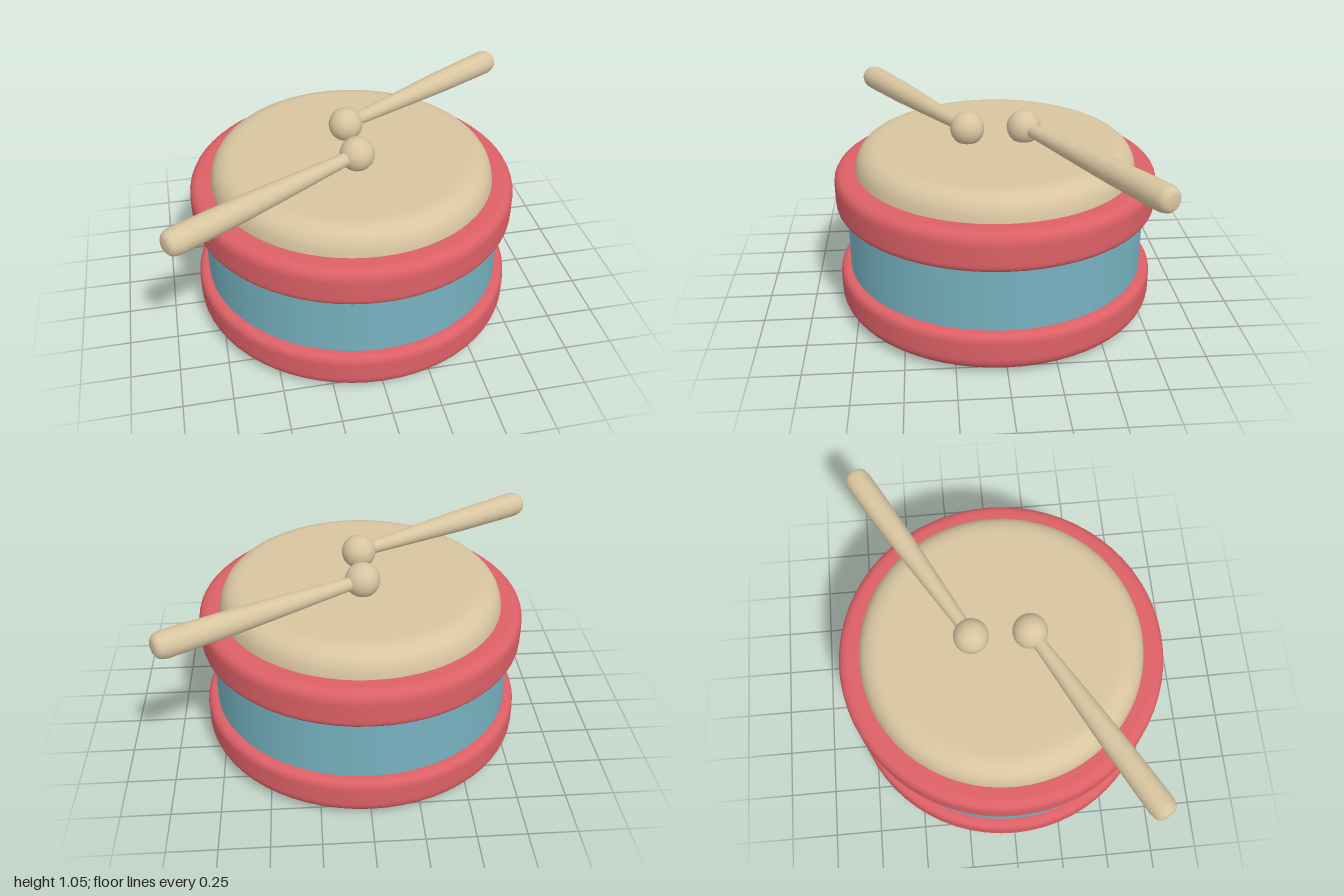
import * as THREE from 'three';

const mat = (name, color) => {
  const m = new THREE.MeshStandardMaterial({ color });
  m.name = name;
  return m;
};

// Smooth profile (radius, height) through corner points; each corner is rounded by its own radius
function roundedProfile(corners) {
  const pts = [];
  corners.forEach(([x, y, r = 0], i) => {
    const p = new THREE.Vector2(x, y);
    if (!r) { pts.push(p); return; }
    const toward = (q) => new THREE.Vector2(q[0], q[1]).sub(p).setLength(r).add(p);
    const curve = new THREE.QuadraticBezierCurve(toward(corners[i - 1]), p, toward(corners[i + 1]));
    pts.push(...curve.getPoints(7));
  });
  return pts;
}

function lathe(name, corners, material, segments = 64) {
  const mesh = new THREE.Mesh(new THREE.LatheGeometry(roundedProfile(corners), segments), material);
  mesh.name = name;
  return mesh;
}

export function createModel() {
  const red = mat('red', 0xdc6066);
  const blue = mat('blue', 0x76b2c0);
  const tan = mat('tan', 0xd8c5a0);
  const drum = new THREE.Group();
  drum.name = 'toyDrum';

  // Shell between the hoops
  const shell = new THREE.Mesh(new THREE.CylinderGeometry(0.79, 0.79, 0.4, 64, 1, true), blue);
  shell.name = 'shell';
  shell.position.y = 0.4;
  drum.add(shell);

  // Lower hoop with a shallow recessed base
  drum.add(lathe('lowerHoop', [
    [0, 0.012], [0.65, 0.012], [0.665, 0, 0.012], [0.77, 0.004, 0.05],
    [0.845, 0.06, 0.04], [0.845, 0.234, 0.05], [0.78, 0.234],
  ], red));

  // Upper hoop
  drum.add(lathe('upperHoop', [
    [0.78, 0.568], [0.845, 0.575, 0.04], [0.845, 0.775, 0.065], [0.7, 0.775],
  ], red));

  // Drum head with a soft shoulder
  drum.add(lathe('drumHead', [
    [0.735, 0.765], [0.72, 0.9, 0.125], [0.5, 0.9], [0, 0.898],
  ], tan));

  // Drumsticks: ball tip, thin neck and a thicker handle
  const sticks = [
    { name: 'leftDrumstick', tip: [0, 0.965, -0.15], end: [0.97, 0.973, -0.692] },
    { name: 'rightDrumstick', tip: [0, 0.965, 0.145], end: [-0.97, 0.957, 0.688] },
  ];
  for (const { name, tip, end } of sticks) {
    const a = new THREE.Vector3(...tip);
    const dir = new THREE.Vector3(...end).sub(a);
    const len = dir.length();
    const stick = new THREE.Group();
    stick.name = name;
    const ball = new THREE.Mesh(new THREE.SphereGeometry(0.089, 28, 18), tan);
    ball.name = 'ballTip';
    const handle = lathe('handle', [
      [0.034, 0.04], [0.036, 0.12], [0.043, 0.28], [0.053, 0.5], [0.061, 0.7],
      [0.066, len - 0.15], [0.067, len - 0.05], [0.058, len - 0.01, 0.015], [0.035, len + 0.004], [0, len + 0.006],
    ], tan, 20);
    stick.add(ball, handle);
    stick.position.copy(a);
    stick.quaternion.setFromUnitVectors(new THREE.Vector3(0, 1, 0), dir.normalize());
    drum.add(stick);
  }
  return drum;
}
